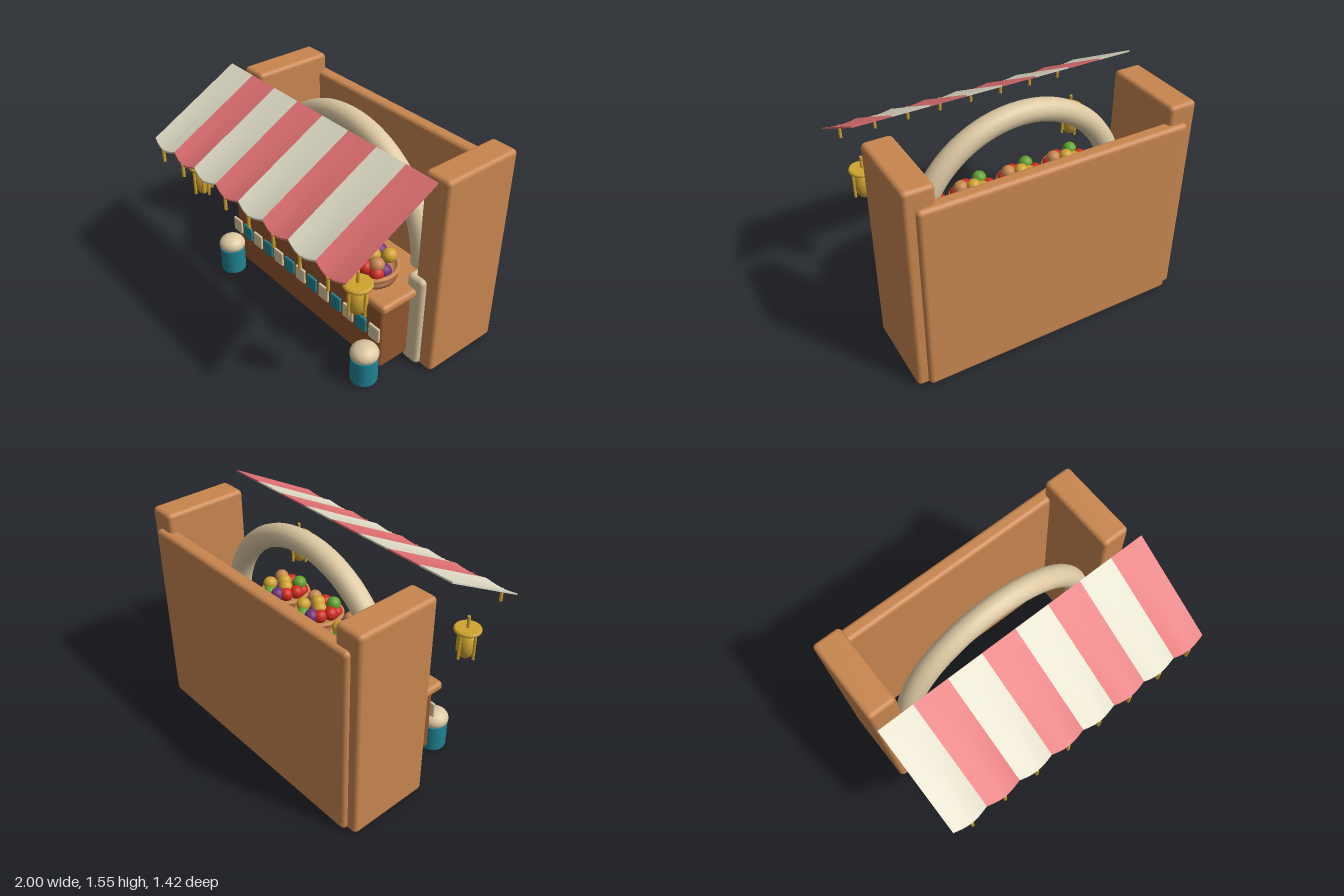
import * as THREE from 'three';
import { RoundedBoxGeometry } from 'three/addons/geometries/RoundedBoxGeometry.js';

const paint = (name, color, side = THREE.FrontSide) =>
  Object.assign(new THREE.MeshStandardMaterial({ color, side }), { name });

export function createModel() {
  const wood = paint('wood', 0xc8864f);
  const darkWood = paint('dark wood', 0x92562d);
  const stone = paint('cream stone', 0xdcc8a2);
  const clothCream = paint('awning cream', 0xdedac5);
  const clothRed = paint('awning red', 0xe07072);
  const teal = paint('teal', 0x1f8493);
  const gold = paint('gold', 0xcfa32e);
  const red = paint('red fruit', 0xcc2a1e);
  const green = paint('green fruit', 0x62a22b);
  const purple = paint('purple fruit', 0x70307a);

  const model = new THREE.Group();
  model.name = 'marketStall';

  const add = (parent, name, geometry, material, x = 0, y = 0, z = 0) => {
    const mesh = new THREE.Mesh(geometry, material);
    mesh.name = name;
    mesh.position.set(x, y, z);
    parent.add(mesh);
    return mesh;
  };
  // Rounded box given by its extents on each axis
  const block = (name, material, [x0, x1], [y0, y1], [z0, z1], r) =>
    add(model, name, new RoundedBoxGeometry(x1 - x0, y1 - y0, z1 - z0, 4, r), material,
      (x0 + x1) / 2, (y0 + y1) / 2, (z0 + z1) / 2);
  const ring = (parent, name, material, radius, tube, y, squash = 1) => {
    const g = new THREE.TorusGeometry(radius, tube, 10, 36).rotateX(Math.PI / 2).scale(1, squash, 1);
    return add(parent, name, g, material, 0, y, 0);
  };

  // Walls
  block('backWall', wood, [-0.93, 0.93], [0.005, 1.37], [-0.71, -0.61], 0.03);
  for (const s of [-1, 1]) {
    const side = s < 0 ? 'right' : 'left';
    block(side + 'Wall', wood, s < 0 ? [-1, -0.8] : [0.8, 1], [0, 1.5], [-0.675, -0.08], 0.03);
    block(side + 'ArchPost', stone, s < 0 ? [-0.9, -0.755] : [0.755, 0.9], [0.005, 0.725], [-0.345, -0.045], 0.035);
  }

  // Arch
  add(model, 'arch', new THREE.TorusGeometry(0.74, 0.078, 16, 64, Math.PI), stone, 0, 0.72, -0.2);

  // Counter
  block('counterBody', darkWood, [-0.8, 0.8], [0.06, 0.59], [-0.26, 0.2], 0.025);
  block('counterTop', wood, [-0.85, 0.85], [0.572, 0.638], [-0.29, 0.235], 0.028);

  // Row of coloured tiles across the counter front
  const tile = new RoundedBoxGeometry(0.1, 0.115, 0.02, 3, 0.009);
  for (let i = 0; i < 13; i++)
    add(model, 'tile', tile, i % 2 ? teal : stone, (i - 6) * 0.1265, 0.37, 0.22);

  // Fruit baskets
  const bowl = new THREE.LatheGeometry(
    [[0, 0.64], [0.13, 0.64], [0.15, 0.68], [0.168, 0.728], [0.145, 0.728], [0.13, 0.7], [0, 0.7]]
      .map(([x, y]) => new THREE.Vector2(x, y)), 36);
  const ball = new THREE.SphereGeometry(0.05, 20, 14);
  const fruits = [
    [red, -0.115, 0.77, 0.01], [green, -0.075, 0.805, 0.075], [gold, 0.005, 0.81, 0.0],
    [wood, 0.085, 0.8, 0.04], [purple, -0.045, 0.745, 0.1], [red, 0.03, 0.768, 0.085],
    [red, 0.105, 0.75, 0.06], [purple, 0.11, 0.745, 0.0], [gold, 0.065, 0.8, -0.085],
    [red, -0.085, 0.765, -0.06], [purple, -0.045, 0.765, -0.105], [green, 0.025, 0.755, -0.12],
    [gold, -0.045, 0.795, -0.03], [red, -0.095, 0.745, 0.075],
  ];
  for (let i = 0; i < 4; i++) {
    const basket = new THREE.Group();
    basket.name = 'fruitBasket';
    basket.position.set((i - 1.5) * 0.372, 0, 0.07);
    model.add(basket);
    add(basket, 'basketBowl', bowl, wood);
    ring(basket, 'basketBase', darkWood, 0.142, 0.026, 0.668, 0.85);
    ring(basket, 'basketRim', wood, 0.167, 0.017, 0.728);
    for (const [m, x, y, z] of fruits) add(basket, 'fruit', ball, m, x, y, z);
  }

  // Striped awning: flat at the back edge, each stripe sagging at the front
  const stripe = new THREE.BoxGeometry(0.25, 0.012, 1, 12, 1, 6);
  const p = stripe.attributes.position;
  for (let i = 0; i < p.count; i++) {
    const t = p.getZ(i) + 0.5;
    const sag = t * Math.cos((p.getX(i) / 0.25) * Math.PI);
    p.setY(i, p.getY(i) + 1.545 - 0.36 * t - 0.028 * sag);
    p.setZ(i, 0.022 + 0.663 * t + 0.018 * sag);
  }
  stripe.computeVertexNormals();
  const peg = new THREE.CylinderGeometry(0.011, 0.011, 0.095, 12);
  for (let i = 0; i < 8; i++) {
    const x = (i - 3.5) * 0.25;
    add(model, 'awningStripe', stripe, i % 2 ? clothRed : clothCream, x);
    add(model, 'awningTassel', peg, gold, x, 1.115, 0.7);
  }

  // Hanging lanterns
  const glass = new THREE.SphereGeometry(1, 24, 18).scale(0.065, 0.11, 0.065);
  const bar = new THREE.CylinderGeometry(0.01, 0.01, 0.2, 10);
  const cap = new THREE.CylinderGeometry(0.08, 0.08, 0.03, 32);
  const hook = new THREE.CylinderGeometry(0.011, 0.011, 0.1, 12);
  for (const s of [-1, 1]) {
    const lantern = new THREE.Group();
    lantern.name = s < 0 ? 'rightLantern' : 'leftLantern';
    lantern.position.set(s * 0.835, 0, 0.443);
    model.add(lantern);
    add(lantern, 'lanternGlass', glass, gold, 0, 0.83, 0);
    add(lantern, 'lanternCap', cap, gold, 0, 0.946, 0);
    ring(lantern, 'lanternCapEdge', gold, 0.078, 0.015, 0.946);
    add(lantern, 'lanternHook', hook, gold, 0, 0.995, 0);
    for (let k = 0; k < 4; k++) {
      const a = k * Math.PI / 2;
      add(lantern, 'lanternBar', bar, gold, 0.068 * Math.cos(a), 0.84, 0.068 * Math.sin(a));
    }
  }

  // Bollards with domed caps
  const drum = new THREE.LatheGeometry(
    [[0, 0.005], [0.082, 0.005], [0.09, 0.01], [0.093, 0.02], [0.093, 0.2], [0.093, 0.215], [0, 0.215]]
      .map(([x, y]) => new THREE.Vector2(x, y)), 36);
  const dome = new THREE.SphereGeometry(1, 32, 18).scale(0.097, 0.069, 0.097);
  for (const s of [-1, 1]) {
    add(model, 'bollardDrum', drum, teal, s * 0.755, 0, 0.293);
    add(model, 'bollardDome', dome, stone, s * 0.755, 0.238, 0.293);
  }

  return model;
}
